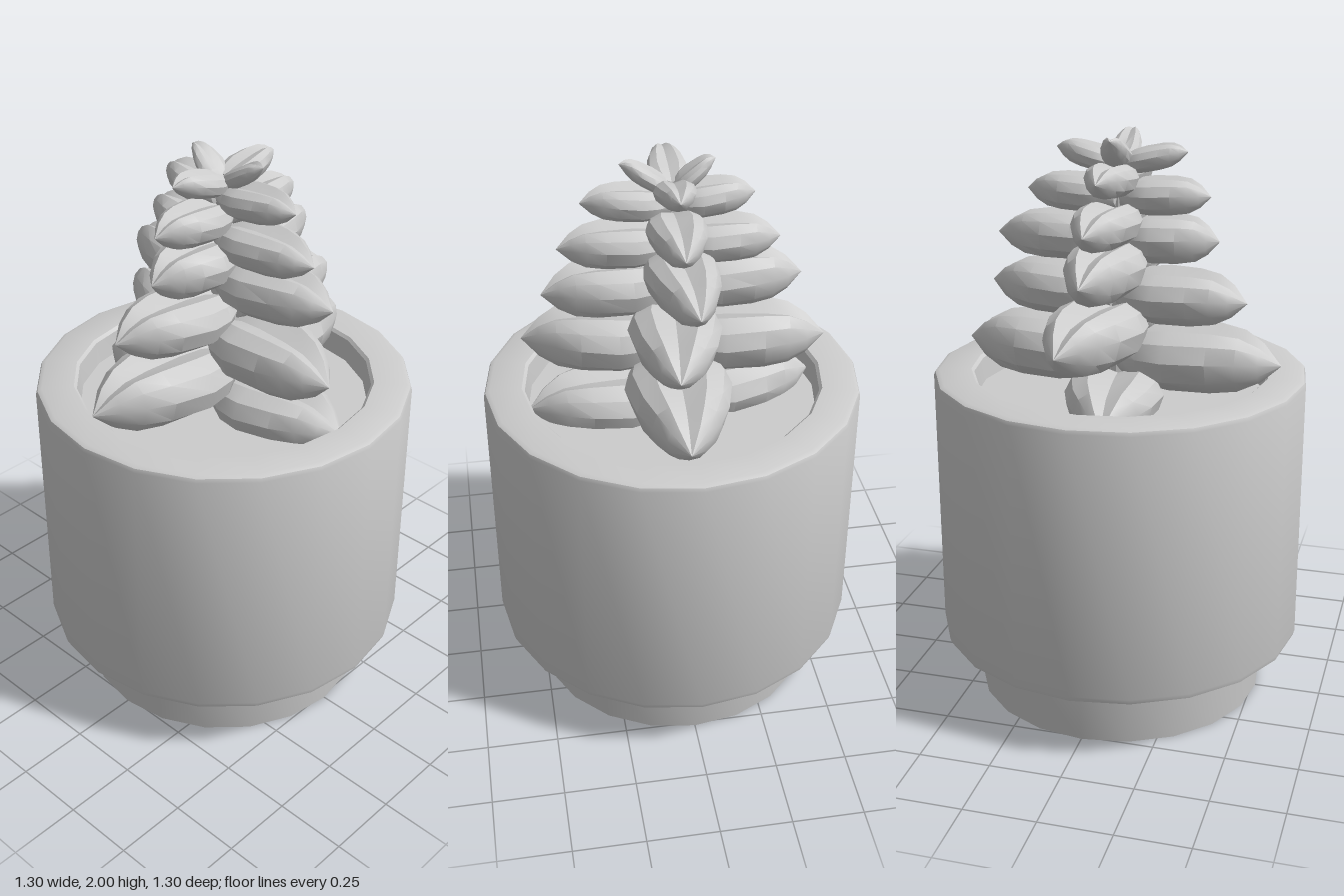
import * as THREE from 'three';
import { toCreasedNormals } from 'three/addons/utils/BufferGeometryUtils.js';

const material = new THREE.MeshStandardMaterial({ color: 0xcccccc });

function addMesh(group, name, geometry) {
  const mesh = new THREE.Mesh(toCreasedNormals(geometry, 0.6), material);
  mesh.name = name;
  group.add(mesh);
  return mesh;
}

// Twenty-sided turned part from [radius, height] pairs
function turned(points) {
  return new THREE.LatheGeometry(points.map(([r, y]) => new THREE.Vector2(r, y)), 20);
}

// Leaf cross-section: rounded underside, grooved top; counter-clockwise seen from the tip
const SECTION = [
  [1, 0.2], [0.85, 0.72], [0.5, 1], [0, 0.72], [-0.5, 1], [-0.85, 0.72],
  [-1, 0.2], [-0.87, -0.45], [-0.5, -0.88], [0, -1], [0.5, -0.88], [0.87, -0.45],
];
// Stations along the leaf: [distance, width, thickness]
const STATIONS = [
  [0, 0, 0], [0.03, 0.55, 0.6], [0.18, 0.88, 0.9], [0.35, 1, 1], [0.6, 0.84, 1],
  [0.76, 0.62, 0.9], [0.88, 0.38, 0.58], [1, 0, 0],
];

// Fleshy pointed leaf growing along +z
function leafGeometry(length, width, thickness, rise) {
  const positions = [];
  const index = [];
  const n = SECTION.length;
  STATIONS.forEach(([t, w, h], i) => {
    SECTION.forEach(([u, v], j) => {
      positions.push(u * w * width, v * h * thickness + rise * (t - 1), t * length);
      if (i === 0) return;
      const k = (j + 1) % n;
      const a = (i - 1) * n;
      const b = i * n;
      if (i > 1) index.push(a + j, a + k, b + k);
      if (i < STATIONS.length - 1) index.push(a + j, b + k, b + j);
      if (i === STATIONS.length - 1) return;
    });
  });
  const geometry = new THREE.BufferGeometry();
  geometry.setAttribute('position', new THREE.Float32BufferAttribute(positions, 3));
  geometry.setIndex(index);
  geometry.computeVertexNormals();
  return geometry;
}

// Opposite leaf pairs, bottom to top: two tips [x, z], then tip height, half width, half thickness, rise
const PAIRS = [
  [[0.04, 0.5], [-0.07, -0.5], 1.13, 0.17, 0.1, 0],
  [[0.565, 0.03], [-0.57, -0.04], 1.25, 0.18, 0.11, 0],
  [[-0.05, 0.51], [0.08, -0.51], 1.36, 0.165, 0.105, 0],
  [[0.48, 0.05], [-0.45, -0.05], 1.46, 0.155, 0.09, 0],
  [[0.04, 0.44], [0.02, -0.435], 1.57, 0.135, 0.09, 0],
  [[0.43, -0.02], [-0.34, 0.01], 1.65, 0.125, 0.08, 0],
  [[0.01, 0.38], [0.03, -0.355], 1.715, 0.115, 0.07, 0],
  [[0.33, 0.01], [-0.31, 0], 1.8, 0.1, 0.062, 0.01],
  [[0.01, 0.3], [0.01, -0.27], 1.87, 0.09, 0.055, 0.02],
  [[0.225, 0.01], [-0.23, 0], 1.945, 0.07, 0.042, 0.05],
  [[0, 0.17], [0, -0.14], 1.99, 0.055, 0.035, 0.1],
];

export function createModel() {
  const model = new THREE.Group();
  model.name = 'pottedSucculent';

  // Tapered foot under the pot
  addMesh(model, 'potFoot', turned([[0, 0], [0.515, 0], [0.53, 0.22]]));

  // Thick-walled pot with small bevels
  addMesh(model, 'pot', turned([
    [0.5, 0.215], [0.63, 0.22], [0.645, 0.227], [0.65, 0.245], [0.65, 1.17],
    [0.645, 1.183], [0.63, 1.19], [0.52, 1.19], [0.51, 1.18], [0.5, 1.08],
  ]));

  addMesh(model, 'soil', turned([[0.51, 1.1], [0, 1.1]]));

  // Succulent: slim stem with crossed leaf pairs
  const plant = new THREE.Group();
  plant.name = 'succulent';
  model.add(plant);
  addMesh(plant, 'stem', new THREE.CylinderGeometry(0.025, 0.07, 0.82, 10).translate(0, 1.49, 0));
  for (const [tipA, tipB, y, width, thickness, rise] of PAIRS) {
    for (const [x, z] of [tipA, tipB]) {
      const leaf = addMesh(plant, 'leaf', leafGeometry(Math.hypot(x, z), width, thickness, rise));
      leaf.position.y = y;
      leaf.rotation.y = Math.atan2(x, z);
    }
  }
  return model;
}
